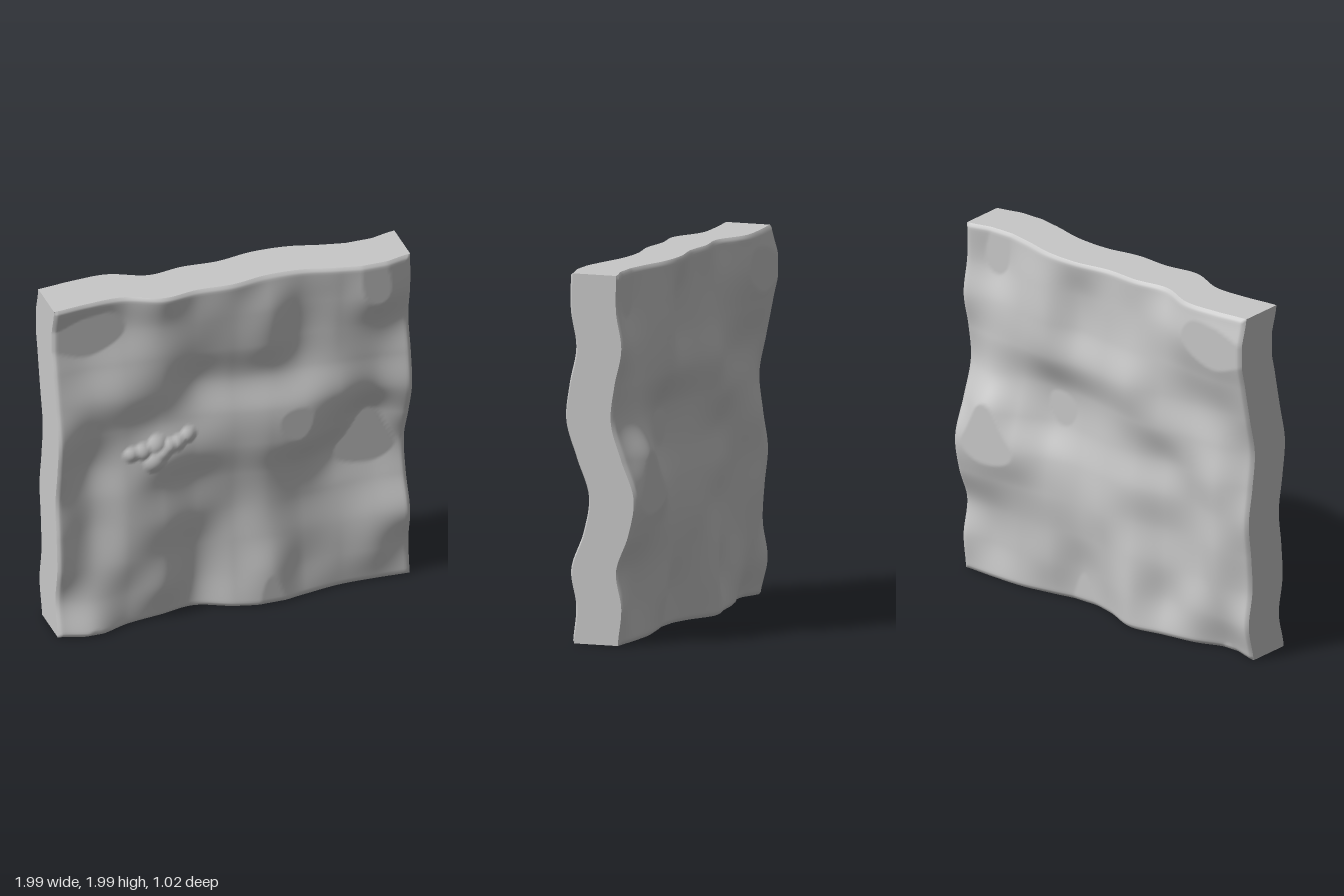
import * as THREE from 'three';

// Sideways bend of the slab in hundredths: rows from top to bottom, columns from right to left end
const BEND = [
  [-2, -4, -4, 4, 2, 3, 0, 1, 6, 9, 5],
  [-6.5, -8, -6, 0, 2, 3, 4, 0, 4, 9.5, 5],
  [-3, -4, -2, 0, 0, 2, 4, -1, 2, 4, 2],
  [1, 1, 2, 0, -4, -1, 1, 0, 2, 3, 6],
  [5, 0, 0, -1, -1, 3, 7, 8, 5, 2, 8],
  [3, -3, 1, 4, 2, 3, 7, 8, 0, -7, 2],
  [0, -2, 3, 2, -1, 0, 3, 1, -6, -8, -5],
  [2, -2, 4, 4, 0, -1, 2, 0, -2, -3, -2],
  [3, 0, 4, 3, -2, 1, 4, 2, 2, 4, 5],
  [0, 3, 2, 4, -3, 3, 8, 3, 3, 5, 2],
  [4, 9, 3, 0, -3, 5, 9, 6, 3, 3, 4],
];
const WIDTH = 1.98, HEIGHT = 1.985, DEPTH = 0.28, EDGE = 0.03;

// Small pebbly cluster on the front face: across, up, radius
const PEBBLES = [
  [-0.57, 1.04, 0.045], [-0.51, 1.05, 0.05], [-0.45, 0.98, 0.06], [-0.43, 1.08, 0.055],
  [-0.4, 1.03, 0.045], [-0.36, 1.06, 0.045], [-0.31, 1.07, 0.045], [-0.25, 1.1, 0.045],
];

const clamp = THREE.MathUtils.clamp;

// Smooth cubic interpolation through a row of values
function cubic(values, t) {
  const last = values.length - 1;
  const i = Math.min(Math.floor(t), last - 1), f = t - i;
  const [a, b, c, d] = [-1, 0, 1, 2].map((k) => values[clamp(i + k, 0, last)]);
  return b + 0.5 * f * (c - a + f * (2 * a - 5 * b + 4 * c - d + f * (3 * (b - c) + d - a)));
}

// Bend at a point, clipped so the extremes become flat patches
function bend(u, y) {
  const col = clamp((u / WIDTH + 0.5) * 10, 0, 10);
  const row = clamp((1 - y / HEIGHT) * 10, 0, 10);
  return clamp(cubic(BEND.map((r) => cubic(r, col)), row) / 100, -0.058, 0.083);
}

// Low soft mounds
function pebbleHeight(u, y) {
  let h = 0;
  for (const [pu, py, r] of PEBBLES) {
    const q = ((u - pu) ** 2 + (y - py) ** 2) / (r * r);
    if (q < 1) h = Math.max(h, 0.018 * (1 - q));
  }
  return h;
}

// Thickness factor that rounds the rim
function rimFactor(u, y) {
  const inset = Math.max(0, Math.min(WIDTH / 2 - Math.abs(u), y, HEIGHT - y));
  const k = Math.max(0, 1 - inset / EDGE);
  return 1 - (EDGE / DEPTH) * (1 - Math.sqrt(1 - k * k));
}

export function createModel() {
  const model = new THREE.Group();
  model.name = 'wavySlab';
  const stone = new THREE.MeshStandardMaterial({ color: 0xc8c8c8 });
  stone.name = 'grey stone';

  // Finely divided block whose front and back follow the same waves
  const geometry = new THREE.BoxGeometry(WIDTH, HEIGHT, DEPTH, 160, 160, 6);
  geometry.translate(0, HEIGHT / 2, 0);
  const p = geometry.attributes.position;
  for (let i = 0; i < p.count; i++) {
    const u = p.getX(i), y = p.getY(i), z = p.getZ(i);
    const bump = z > DEPTH / 2 - 0.001 ? pebbleHeight(u, y) : 0;
    p.setZ(i, z * rimFactor(u, y) + bend(u, y) + bump);
  }
  geometry.computeVertexNormals();

  const slab = new THREE.Mesh(geometry, stone);
  slab.name = 'slab';
  slab.rotation.y = THREE.MathUtils.degToRad(20);
  model.add(slab);
  return model;
}
